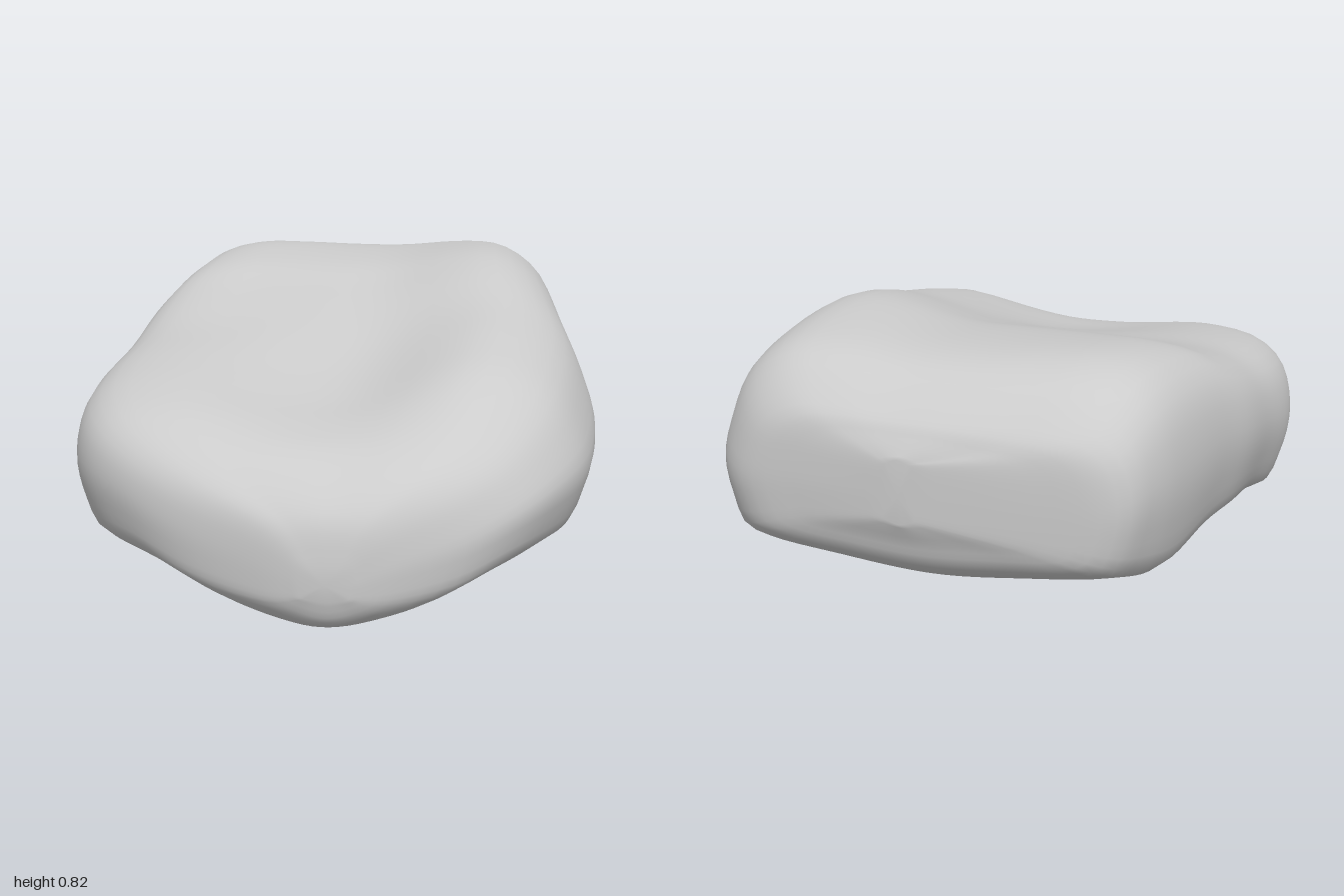
import * as THREE from 'three';

// Sections from back to front: z, right x, left x, keel y,
// top y on the right, middle and left, then the rise of the underside at the right and left
const SECTIONS = [
  [-1.0, 0.0, 0.1, 0.38, 0.55, 0.56, 0.55, 0, 0],
  [-0.975, -0.31, 0.35, 0.32, 0.59, 0.61, 0.61, 0, 0],
  [-0.94, -0.52, 0.54, 0.24, 0.65, 0.66, 0.67, 0.02, 0],
  [-0.82, -0.6, 0.66, 0.16, 0.75, 0.75, 0.77, 0.03, 0],
  [-0.65, -0.65, 0.7, 0.11, 0.79, 0.78, 0.81, 0.03, 0.01],
  [-0.4, -0.7, 0.72, 0.08, 0.765, 0.765, 0.825, 0.08, 0.02],
  [-0.2, -0.745, 0.745, 0.06, 0.7, 0.715, 0.8, 0.1, 0.02],
  [0.05, -0.765, 0.785, 0.045, 0.635, 0.645, 0.735, 0.07, 0],
  [0.3, -0.79, 0.77, 0.025, 0.6, 0.57, 0.685, 0.01, 0.03],
  [0.5, -0.765, 0.73, 0.01, 0.57, 0.525, 0.635, 0.05, 0.09],
  [0.67, -0.68, 0.65, 0.0, 0.53, 0.5, 0.56, 0.13, 0.14],
  [0.8, -0.54, 0.55, 0.0, 0.47, 0.47, 0.49, 0.16, 0.15],
  [0.9, -0.36, 0.41, 0.005, 0.4, 0.41, 0.42, 0.12, 0.11],
  [0.97, -0.14, 0.23, 0.05, 0.32, 0.33, 0.33, 0.05, 0.05],
  [0.995, -0.02, 0.12, 0.12, 0.22, 0.22, 0.22, 0, 0],
];

// Unit cross-section: u across the width, v from the underside to the top
const PROFILE = [
  [0, 0], [0.45, 0.035], [0.8, 0.08], [0.92, 0.13], [0.97, 0.27], [1, 0.45], [0.96, 0.62],
  [0.85, 0.85], [0.68, 0.97], [0.45, 1], [0.15, 1], [-0.15, 1], [-0.45, 1],
  [-0.68, 0.99], [-0.84, 0.94], [-0.945, 0.82], [-1, 0.55], [-0.97, 0.28],
  [-0.91, 0.11], [-0.78, 0.07], [-0.45, 0.035],
];

const AROUND = 72;
const STEPS = 4;

// Smooth interpolation of every column of the section table
function sectionAt(t) {
  const last = SECTIONS.length - 1;
  const i = Math.min(Math.floor(t), last - 1);
  const f = t - i;
  const row = (k) => SECTIONS[THREE.MathUtils.clamp(k, 0, last)];
  return row(i).map((b, c) => {
    const a = row(i - 1)[c], d = row(i + 1)[c], e = row(i + 2)[c];
    const m0 = (d - a) / 2, m1 = (e - b) / 2;
    return b + f * (m0 + f * (3 * (d - b) - 2 * m0 - m1 + f * (2 * (b - d) + m0 + m1)));
  });
}

function stoneGeometry() {
  const profile = new THREE.CatmullRomCurve3(
    PROFILE.map(([u, v]) => new THREE.Vector3(u, v, 0)), true, 'centripetal').getSpacedPoints(AROUND);
  const positions = [], indices = [];
  const rings = (SECTIONS.length - 1) * STEPS + 1;

  // Rings lofted along z, with a dished top and a keeled underside
  for (let r = 0; r < rings; r++) {
    const [z, xr, xl, keel, tr, tm, tl, riseR, riseL] = sectionAt(r / STEPS);
    for (let j = 0; j < AROUND; j++) {
      const { x: u, y: v } = profile[j];
      const s = THREE.MathUtils.clamp(u / 0.6, -1, 1);
      const w = s * s * (2 - s * s);
      const top = tm + ((u > 0 ? tl : tr) - tm) * w;
      const bottom = keel + (u > 0 ? riseL : riseR) * u * u;
      positions.push((xl + xr) / 2 + u * (xl - xr) / 2, bottom + v * (top - bottom), z);
    }
  }
  for (let r = 0; r < rings - 1; r++) {
    for (let j = 0; j < AROUND; j++) {
      const k = (j + 1) % AROUND;
      const a = r * AROUND + j, b = r * AROUND + k;
      indices.push(a, b, b + AROUND, a, b + AROUND, a + AROUND);
    }
  }

  // Closing points at the back and front
  const back = positions.length / 3;
  positions.push(0.05, 0.46, -1, 0.05, 0.17, 1);
  const front = (rings - 1) * AROUND;
  for (let j = 0; j < AROUND; j++) {
    const k = (j + 1) % AROUND;
    indices.push(back, k, j, back + 1, front + j, front + k);
  }

  const geometry = new THREE.BufferGeometry();
  geometry.setAttribute('position', new THREE.Float32BufferAttribute(positions, 3));
  geometry.setIndex(indices);
  geometry.computeVertexNormals();
  return geometry;
}

export function createModel() {
  const group = new THREE.Group();
  group.name = 'rock';
  const stone = new THREE.Mesh(stoneGeometry(), new THREE.MeshStandardMaterial({ color: 0xcccccc }));
  stone.name = 'stone';
  group.add(stone);
  return group;
}
